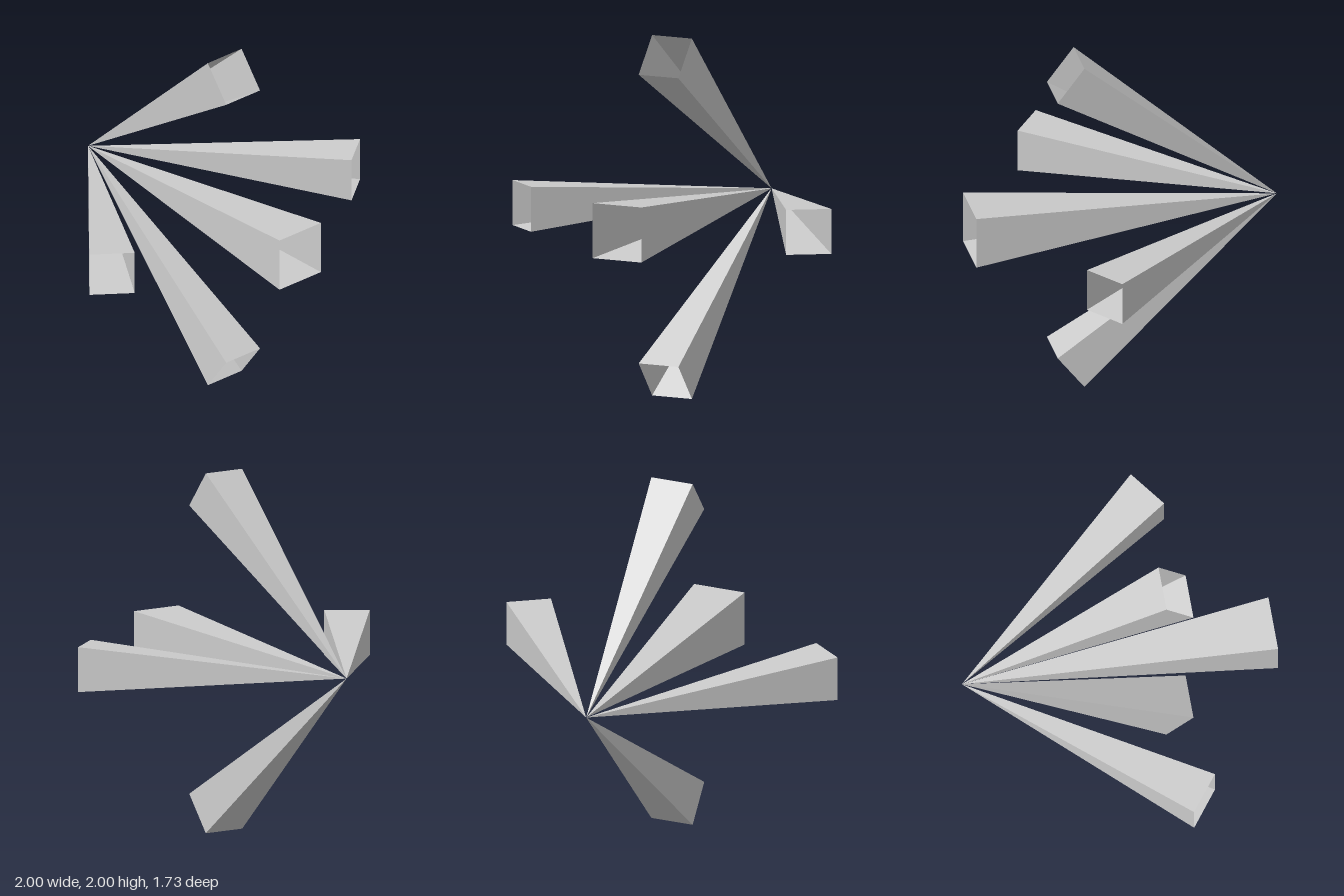
import * as THREE from 'three';

const APEX = new THREE.Vector3(0, 1, -0.867);
const SPREAD = THREE.MathUtils.degToRad(37.1);

// Hollow four-sided horn: tip at the origin, square mouth open towards +z
function hornGeometry(halfWidth, length) {
  return new THREE.ConeGeometry(halfWidth * Math.SQRT2, length, 4, 1, true)
    .rotateY(Math.PI / 4)
    .translate(0, -length / 2, 0)
    .rotateX(-Math.PI / 2);
}

export function createModel() {
  const group = new THREE.Group();
  group.name = 'hornCluster';
  const material = new THREE.MeshStandardMaterial({
    color: 0xcccccc, flatShading: true, side: THREE.DoubleSide,
  });

  function addHorn(name, geometry, pitch, yaw) {
    const horn = new THREE.Mesh(geometry, material);
    horn.name = name;
    horn.position.copy(APEX);
    horn.rotation.set(pitch, yaw, 0);
    group.add(horn);
  }

  // Larger horn straight ahead
  addHorn('centerHorn', hornGeometry(0.153, 1.734), 0, 0);

  // Four smaller horns fanning out from the shared tip
  const outer = hornGeometry(0.125, 1.495);
  addHorn('leftHorn', outer, 0, SPREAD);
  addHorn('rightHorn', outer, 0, -SPREAD);
  addHorn('upperHorn', outer, -SPREAD, 0);
  addHorn('lowerHorn', outer, SPREAD, 0);

  return group;
}
